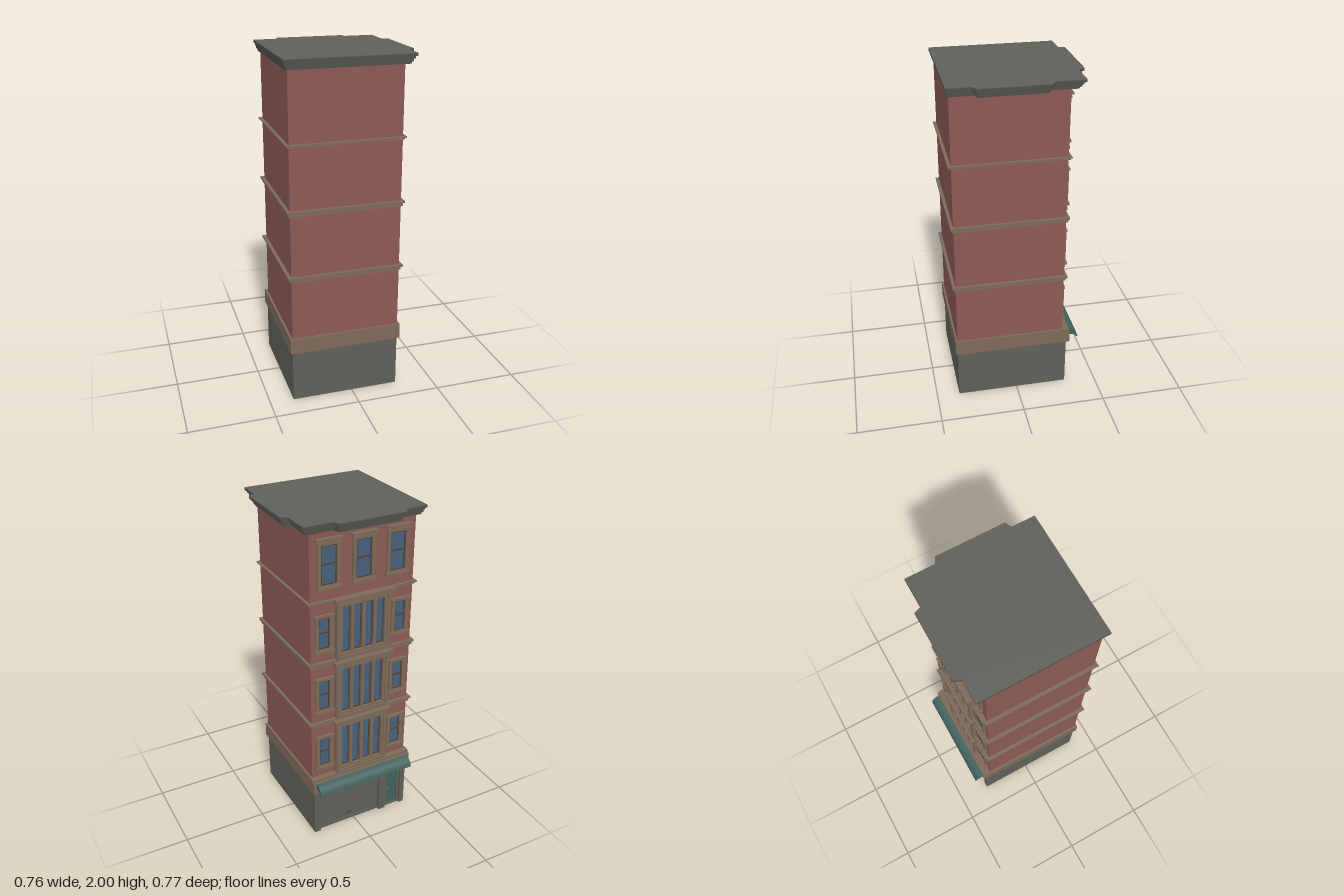
import * as THREE from 'three';

const mat = (name, color, double) => {
  const m = new THREE.MeshStandardMaterial({ color });
  m.name = name;
  if (double) m.side = THREE.DoubleSide;
  return m;
};

export function createModel() {
  const brick = mat('brick', 0x8c5a55);
  const stone = mat('brownStone', 0x7e6a5a);
  const grey = mat('grey', 0x60605a);
  const dark = mat('darkCornice', 0x4e4f4a);
  const sash = mat('darkSash', 0x54443b);
  const glass = mat('blueGlass', 0x46617c);
  const teal = mat('teal', 0x42625e, true);

  const model = new THREE.Group();
  model.name = 'cornerBuilding';

  const add = (parent, name, geometry, material) => {
    const m = new THREE.Mesh(geometry, material);
    m.name = name;
    parent.add(m);
    return m;
  };
  const box = (parent, name, material, x0, x1, y0, y1, z0, z1) => {
    const g = new THREE.BoxGeometry(x1 - x0, y1 - y0, z1 - z0);
    g.translate((x0 + x1) / 2, (y0 + y1) / 2, (z0 + z1) / 2);
    return add(parent, name, g, material);
  };
  const group = (parent, name, x = 0, y = 0, z = 0) => {
    const g = new THREE.Group();
    g.name = name;
    g.position.set(x, y, z);
    parent.add(g);
    return g;
  };
  // Rectangular panel with rectangular holes [x0, x1, y0, y1]
  const rect = (T, [a, b, c, d]) => {
    const s = new T();
    s.moveTo(a, c); s.lineTo(b, c); s.lineTo(b, d); s.lineTo(a, d); s.closePath();
    return s;
  };
  const frame = (parent, name, material, outer, holes, z, depth) => {
    const s = rect(THREE.Shape, outer);
    s.holes = holes.map(h => rect(THREE.Path, h));
    const g = new THREE.ExtrudeGeometry(s, { depth, bevelEnabled: false });
    g.translate(0, 0, z);
    return add(parent, name, g, material);
  };

  // Main volumes
  box(model, 'groundFloor', grey, -0.36, 0.28, 0, 0.32, -0.28, 0.363);
  box(model, 'brickBody', brick, -0.36, 0.28, 0.4, 1.95, -0.28, 0.363);
  box(model, 'stoneBelt', stone, -0.374, 0.293, 0.315, 0.405, -0.3, 0.375);
  box(model, 'stoneBeltFoot', stone, -0.366, 0.286, 0.307, 0.315, -0.3, 0.368);

  // Stepped bands between floors
  for (const [y0, y1] of [[0.76, 0.792], [1.15, 1.182], [1.535, 1.552]]) {
    const mid = y0 + (y1 - y0) * 0.6;
    box(model, 'floorBandLower', stone, -0.37, 0.288, y0, mid, -0.29, 0.373);
    box(model, 'floorBandUpper', stone, -0.38, 0.297, mid, y1, -0.298, 0.381);
  }

  // Cornice: stacked slabs with a chamfered projection on the +x and -z sides
  const corniceSlab = (name, material, inset, y0, y1) => {
    const i = inset, k = inset * 0.5;
    const pts = [
      [-0.385 + k, 0.385 - k], [0.343 - i, 0.385 - k],
      [0.343 - i, 0.252 - k], [0.38 - i, 0.235 - k], [0.38 - i, -0.157 + k], [0.343 - i, -0.175 + k],
      [0.343 - i, -0.343 + i],
      [0.173 - k, -0.343 + i], [0.157 - k, -0.382 + i], [-0.235 + k, -0.382 + i], [-0.252 + k, -0.343 + i],
      [-0.385 + k, -0.343 + i],
    ];
    const s = new THREE.Shape(pts.map(([x, z]) => new THREE.Vector2(x, -z)));
    const g = new THREE.ExtrudeGeometry(s, { depth: y1 - y0, bevelEnabled: false });
    g.rotateX(-Math.PI / 2);
    g.translate(0, y0, 0);
    add(model, name, g, material);
  };
  corniceSlab('roof', grey, 0, 1.996, 2);
  corniceSlab('corniceTop', dark, 0, 1.984, 1.996);
  corniceSlab('corniceUpper', dark, 0.012, 1.97, 1.984);
  corniceSlab('corniceMiddle', dark, 0.02, 1.955, 1.97);
  corniceSlab('corniceLower', dark, 0.03, 1.942, 1.955);

  // Street facade: local +z points out of the wall
  const facade = group(model, 'streetFacade', -0.04, 0, -0.28);
  facade.rotation.y = Math.PI;

  // Double-hung window with surround, sill and optional hood; y is its bottom
  const sashWindow = (x, y, w, h, hood) => {
    const g = group(facade, 'sashWindow', x, y, 0);
    const a = w / 2, t = 0.02, mid = h * 0.52;
    frame(g, 'windowSurround', stone, [-a, a, 0, h], [[-a + t, a - t, t, h - t]], 0, 0.013);
    frame(g, 'windowSash', sash, [-a + t, a - t, t, h - t],
      [[-a + t + 0.007, a - t - 0.007, t + 0.007, mid - 0.005],
        [-a + t + 0.007, a - t - 0.007, mid + 0.005, h - t - 0.007]], 0, 0.007);
    box(g, 'windowGlass', glass, -a + t, a - t, t, h - t, 0, 0.003);
    box(g, 'windowSill', stone, -a - 0.006, a + 0.006, -0.004, 0.012, 0, 0.022);
    box(g, 'windowLintel', stone, -a - 0.004, a + 0.004, h - 0.012, h, 0, 0.018);
    if (hood) {
      box(g, 'windowHood', stone, -a - 0.01, a + 0.01, h + 0.008, h + 0.02, 0, 0.026);
      box(g, 'hoodNeck', stone, -a, a, h, h + 0.008, 0, 0.016);
    }
  };
  for (const x of [-0.21, 0, 0.21]) sashWindow(x, 1.62, 0.135, 0.26, true);

  // Three floors of side windows around a projecting bay
  const floors = [[0.405, 0.76, 0.465], [0.792, 1.15, 0.855], [1.182, 1.535, 1.245]];
  for (const [y0, y1, sill] of floors) {
    for (const side of [-1, 1]) sashWindow(side * 0.24, sill, 0.108, 0.225, false);

    const bay = group(facade, 'bay');
    const panes = [-1.5, -0.5, 0.5, 1.5].map(i => [i * 0.071 - 0.027, i * 0.071 + 0.027, y0 + 0.035, y1 - 0.035]);
    frame(bay, 'bayFrame', stone, [-0.17, 0.17, y0, y1], panes, 0, 0.024);
    for (const p of panes) {
      const [a, b, c, d] = p;
      frame(bay, 'baySash', sash, p, [[a + 0.007, b - 0.007, c + 0.009, d - 0.009]], 0, 0.01);
      box(bay, 'bayGlass', glass, a, b, c, d, 0, 0.006);
    }
    for (const side of [-1, 1]) {
      const x = side * 0.158;
      box(bay, 'bayPilaster', stone, x - 0.009, x + 0.009, y0, y1, 0.02, 0.03);
    }
    box(bay, 'bayApron', stone, -0.17, 0.17, y0, y0 + 0.018, 0.02, 0.031);
    box(bay, 'bayHead', stone, -0.175, 0.175, y1 - 0.02, y1, 0, 0.033);
    box(bay, 'bayBand', stone, -0.185, 0.185, y1, y1 + 0.017, 0, 0.045);
  }

  // Shop front: pillars, header, roller shutter and door
  const shop = group(facade, 'shopFront');
  for (const [a, b] of [[-0.32, -0.28], [0.135, 0.182], [0.288, 0.32]]) {
    box(shop, 'pillar', grey, a, b, 0, 0.31, 0, 0.03);
  }
  box(shop, 'header', grey, -0.32, 0.32, 0.275, 0.31, 0, 0.03);
  box(shop, 'shutter', grey, -0.28, 0.135, 0, 0.275, 0, 0.008);
  box(shop, 'shutterFoot', grey, -0.28, 0.135, 0, 0.02, 0, 0.013);
  box(shop, 'shutterHandle', dark, -0.092, -0.052, 0.045, 0.06, 0.008, 0.018);
  frame(shop, 'doorFrame', grey, [0.182, 0.288, 0, 0.275], [[0.197, 0.273, 0.012, 0.25]], 0, 0.016);
  box(shop, 'door', teal, 0.197, 0.273, 0.012, 0.25, 0, 0.008);
  box(shop, 'doorHandle', stone, 0.203, 0.211, 0.115, 0.135, 0.008, 0.018);
  box(shop, 'beltFront', stone, -0.333, 0.333, 0.31, 0.388, 0, 0.048);
  box(shop, 'beltTop', stone, -0.333, 0.333, 0.388, 0.405, 0, 0.035);

  // Curved awning extruded along the shop front
  const profile = new THREE.Shape();
  profile.moveTo(0.04, 0.386);
  profile.lineTo(0.062, 0.382);
  profile.quadraticCurveTo(0.098, 0.372, 0.105, 0.33);
  profile.lineTo(0.095, 0.33);
  profile.quadraticCurveTo(0.085, 0.352, 0.04, 0.352);
  profile.closePath();
  const awning = new THREE.ExtrudeGeometry(profile, { depth: 0.628, bevelEnabled: false, curveSegments: 5 });
  awning.rotateY(-Math.PI / 2);
  awning.translate(0.314, 0, 0);
  add(facade, 'awning', awning, teal);

  return model;
}
